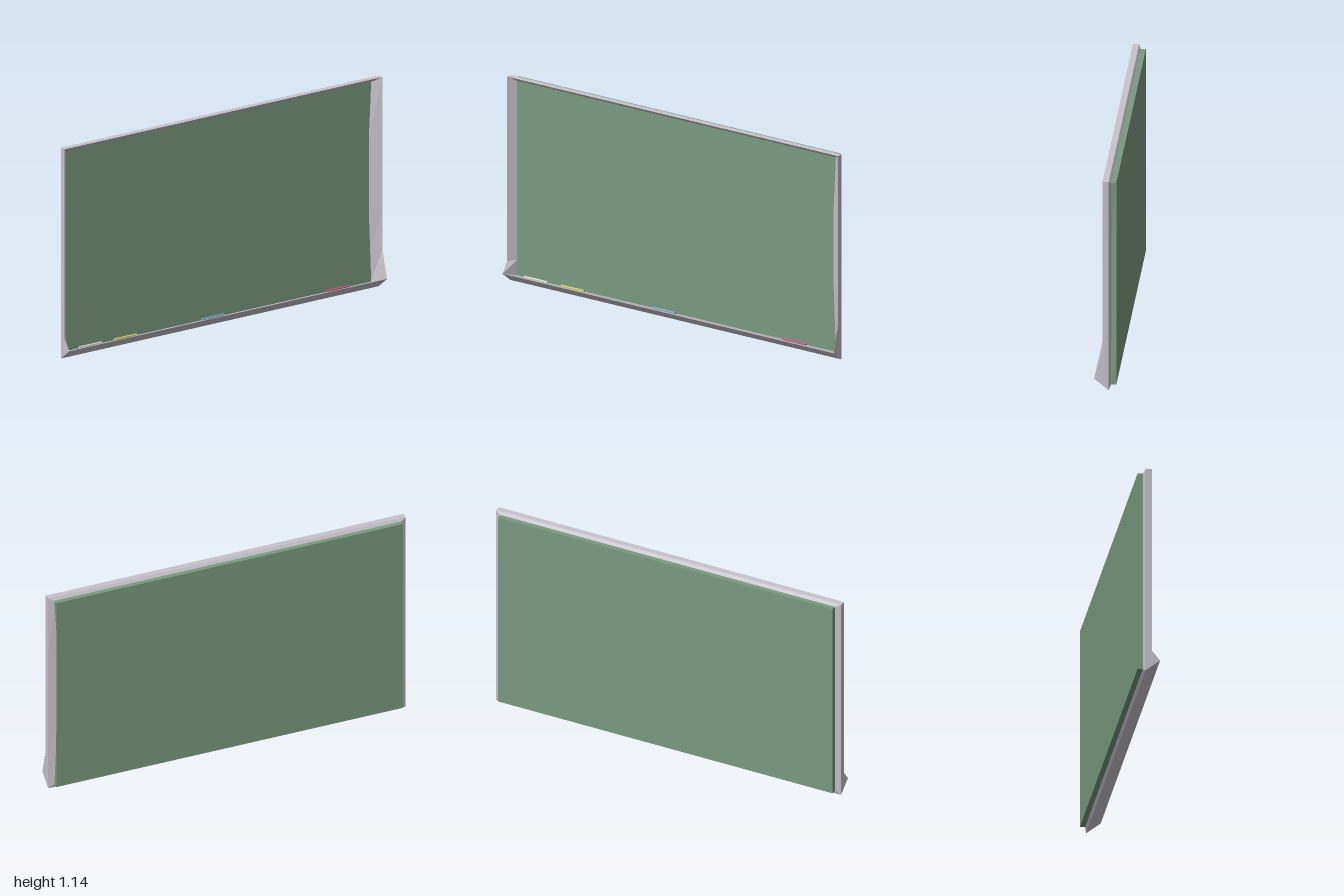
import * as THREE from 'three';

const mat = (color) => new THREE.MeshStandardMaterial({ color, flatShading: true });

// Build a flat-shaded mesh from a list of triangle corners
function meshFrom(name, triangles, material) {
  const geo = new THREE.BufferGeometry();
  geo.setAttribute('position', new THREE.Float32BufferAttribute(triangles.flat(), 3));
  geo.computeVertexNormals();
  const mesh = new THREE.Mesh(geo, material);
  mesh.name = name;
  return mesh;
}

// Join two closed loops with the same number of points
function band(a, b) {
  const out = [];
  a.forEach((p, i) => {
    const j = (i + 1) % a.length;
    out.push(p, b[i], b[j], p, b[j], a[j]);
  });
  return out;
}

// Fill a loop lying in a plane of constant x
function cap(loop, flip) {
  const faces = THREE.ShapeUtils.triangulateShape(loop.map(([, y, z]) => new THREE.Vector2(-z, y)), []);
  return faces.flatMap(([a, b, c]) => (flip ? [a, c, b] : [a, b, c]).map((i) => loop[i]));
}

// Loop around the board at a fixed x: bottom, far side (bowed), top, near side
const ring = (x, bottom, top, near, far, bow) => [
  [x, bottom, near], [x, bottom, -far], [x, 0.21, -far + bow * 0.45], [x, 0.42, -far + bow],
  [x, 0.8, -far + bow], [x, top, -far], [x, top, near], [x, 0.115, near],
];

export function createModel() {
  const group = new THREE.Group();
  const grey = mat(0xc8c3cb);
  const green = mat(0x7a9a80);

  // Cross-section loops from the writing surface out over the frame to the back
  const inner = ring(-0.03, 0.03, 1.11, 0.965, 0.96, 0.015);
  const front = ring(0.012, 0, 1.14, 1, 1, 0);
  front[0] = [0.055, 0.06, 1]; // tray lip
  front[1] = [0.055, 0.06, -1];
  const outer = ring(-0.02, 0, 1.14, 1, 1, 0);
  const rear = ring(-0.03, 0.02, 1.125, 0.97, 0.97, 0.02);
  const back = ring(-0.057, 0.02, 1.125, 0.97, 0.97, 0);

  // Frame with the chalk tray along its bottom
  group.add(meshFrom('frameAndTray', [...band(inner, front), ...band(front, outer), ...band(outer, rear)], grey));

  // Green board
  group.add(meshFrom('writingSurface', cap(inner, false), green));
  group.add(meshFrom('backPanel', [...band(rear, back), ...cap(back, true)], green));

  // Chalk sticks lying in the tray
  const chalks = [
    ['whiteChalk', 0.83, 0xd4d4cc], ['yellowChalk', 0.61, 0xc9c86a],
    ['blueChalk', 0.06, 0x7fa5c0], ['pinkChalk', -0.73, 0xb85a7c],
  ];
  const stick = new THREE.CylinderGeometry(0.007, 0.007, 0.14, 6).rotateX(Math.PI / 2);
  for (const [name, z, color] of chalks) {
    const chalk = new THREE.Mesh(stick, mat(color));
    chalk.name = name;
    chalk.position.set(0.002, 0.046, z);
    group.add(chalk);
  }
  return group;
}
